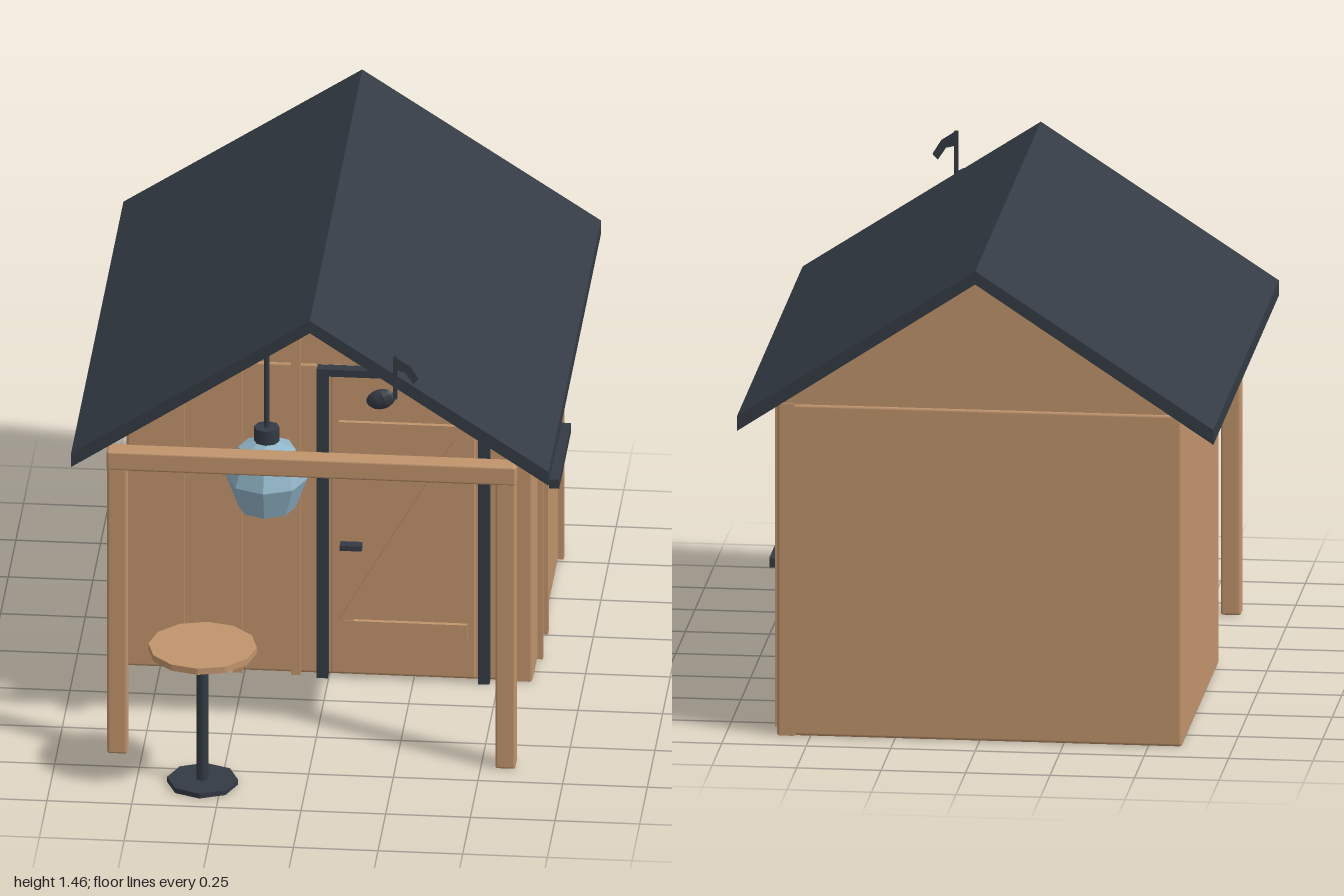
import * as THREE from 'three';
import { RoundedBoxGeometry } from 'three/addons/geometries/RoundedBoxGeometry.js';

const mat = (color, flatShading = false) => new THREE.MeshStandardMaterial({ color, flatShading });
const WOOD = mat(0xc1946c), DARK = mat(0x343b44), GLASS = mat(0x8fb4c6);
const WOOD_FLAT = mat(0xc1946c, true), DARK_FLAT = mat(0x343b44, true), GLASS_FLAT = mat(0x8fb4c6, true);

export function createModel() {
  const model = new THREE.Group();
  model.name = 'cabin';

  const add = (name, geometry, material, x = 0, y = 0, z = 0) => {
    const mesh = new THREE.Mesh(geometry, material);
    mesh.name = name;
    mesh.position.set(x, y, z);
    model.add(mesh);
    return mesh;
  };

  // Box given by its extents; a radius rounds the edges
  const block = (name, material, [x0, x1], [y0, y1], [z0, z1], radius = 0) => {
    const size = [x1 - x0, y1 - y0, z1 - z0];
    const geometry = radius ? new RoundedBoxGeometry(...size, 2, radius) : new THREE.BoxGeometry(...size);
    return add(name, geometry, material, (x0 + x1) / 2, (y0 + y1) / 2, (z0 + z1) / 2);
  };

  // Outline in x and y, extruded from z0 to z1
  const outline = (points) => new THREE.Shape(points.map(([x, y]) => new THREE.Vector2(x, y)));
  const prism = (name, material, points, z0, z1) =>
    add(name, new THREE.ExtrudeGeometry(outline(points), { depth: z1 - z0, bevelEnabled: false }), material, 0, 0, z0);

  const cylinder = (name, material, r, [y0, y1], x, z, sides) =>
    add(name, new THREE.CylinderGeometry(r, r, y1 - y0, sides), material, x, (y0 + y1) / 2, z);

  // Cabin body and gables
  block('cabinBody', WOOD, [-0.6, 0.565], [0, 1.01], [-0.89, 0.07], 0.01);
  prism('gable', WOOD, [[-0.6, 1.0], [0.6, 1.0], [0.6, 1.022], [0, 1.42], [-0.6, 1.022]], -0.885, 0.065);

  // Left wall with a window opening (shape x runs towards -z)
  const wall = outline([[-0.07, 0], [0.89, 0], [0.89, 1.01], [-0.07, 1.01]]);
  wall.holes.push(new THREE.Path([[0.33, 0.47], [0.33, 0.73], [0.655, 0.73], [0.655, 0.47]]
    .map(([x, y]) => new THREE.Vector2(x, y))));
  const wallGeometry = new THREE.ExtrudeGeometry(wall, {
    depth: 0.044, bevelThickness: 0.008, bevelSize: 0.008, bevelOffset: -0.008, bevelSegments: 2,
  });
  add('windowWall', wallGeometry, WOOD, 0.548, 0, 0).rotation.y = Math.PI / 2;
  block('windowPane', GLASS, [0.56, 0.57], [0.47, 0.73], [-0.655, -0.33]);
  block('windowSill', DARK, [0.57, 0.645], [0.455, 0.485], [-0.685, -0.3]);

  // Roof slopes
  for (const side of [-1, 1]) {
    const points = [[0, 1.42], [0.705 * side, 0.953], [0.705 * side, 0.998], [0, 1.46]];
    prism('roofSlope', DARK, points, -1, 0.712);
  }

  // Wall battens
  for (const [x, top] of [[-0.44, 1.105], [-0.27, 1.217], [-0.098, 1.333]])
    block('frontBatten', WOOD, [x - 0.014, x + 0.014], [0, top], [0.06, 0.085]);
  for (const z of [-0.097, -0.267, -0.777])
    block('sideBatten', WOOD, [0.59, 0.616], [0, 0.995], [z - 0.012, z + 0.012]);

  // Door, frame, bracing and handle
  block('door', WOOD, [0.007, 0.433], [0.015, 0.985], [0.06, 0.092], 0.005);
  for (const x of [-0.035, 0.442])
    block('doorJamb', DARK, [x, x + 0.033], [0, 1.008], [0.06, 0.1]);
  block('doorLintel', DARK, [-0.035, 0.475], [0.985, 1.008], [0.06, 0.1]);
  for (const y of [0.145, 0.793])
    block('doorRail', WOOD, [0.03, 0.41], [y, y + 0.048], [0.085, 0.106]);
  prism('doorBrace', WOOD, [[0.03, 0.193], [0.072, 0.193], [0.41, 0.793], [0.37, 0.793]], 0.085, 0.104);
  block('doorHandle', DARK, [0.035, 0.1], [0.43, 0.446], [0.085, 0.125]);

  // Porch posts and beam
  for (const x of [-0.573, 0.573])
    block('porchPost', WOOD, [x - 0.03, x + 0.03], [0, 0.98], [0.612, 0.667], 0.008);
  block('porchBeam', WOOD, [-0.605, 0.605], [0.925, 0.987], [0.61, 0.669], 0.008);

  // Hanging lantern
  const lx = -0.145, lz = 0.515;
  add('lanternGlass', new THREE.SphereGeometry(0.12, 8, 4), GLASS_FLAT, lx, 0.85, lz).scale.y = 1.13;
  cylinder('lanternCap', DARK, 0.038, [0.97, 1.015], lx, lz, 8);
  cylinder('lanternRod', DARK, 0.008, [1.0, 1.335], lx, lz, 8);

  // Round bar table
  const tx = -0.305, tz = 0.84;
  cylinder('tableTop', WOOD_FLAT, 0.16, [0.43, 0.45], tx, tz, 12);
  cylinder('tablePole', DARK, 0.018, [0.01, 0.435], tx, tz, 8);
  cylinder('tableBase', DARK_FLAT, 0.105, [0, 0.016], tx, tz, 8);

  // Floating music note
  const head = add('noteHead', new THREE.SphereGeometry(1, 10, 8), DARK_FLAT, 0.218, 1.257, 0.8);
  head.scale.set(0.044, 0.031, 0.02);
  head.rotation.z = 0.3;
  block('noteStem', DARK, [0.254, 0.266], [1.26, 1.4], [0.794, 0.806]);
  prism('noteFlag', DARK, [[0.258, 1.358], [0.29, 1.35], [0.314, 1.313], [0.33, 1.33], [0.305, 1.37], [0.26, 1.4]], 0.793, 0.807);

  return model;
}
